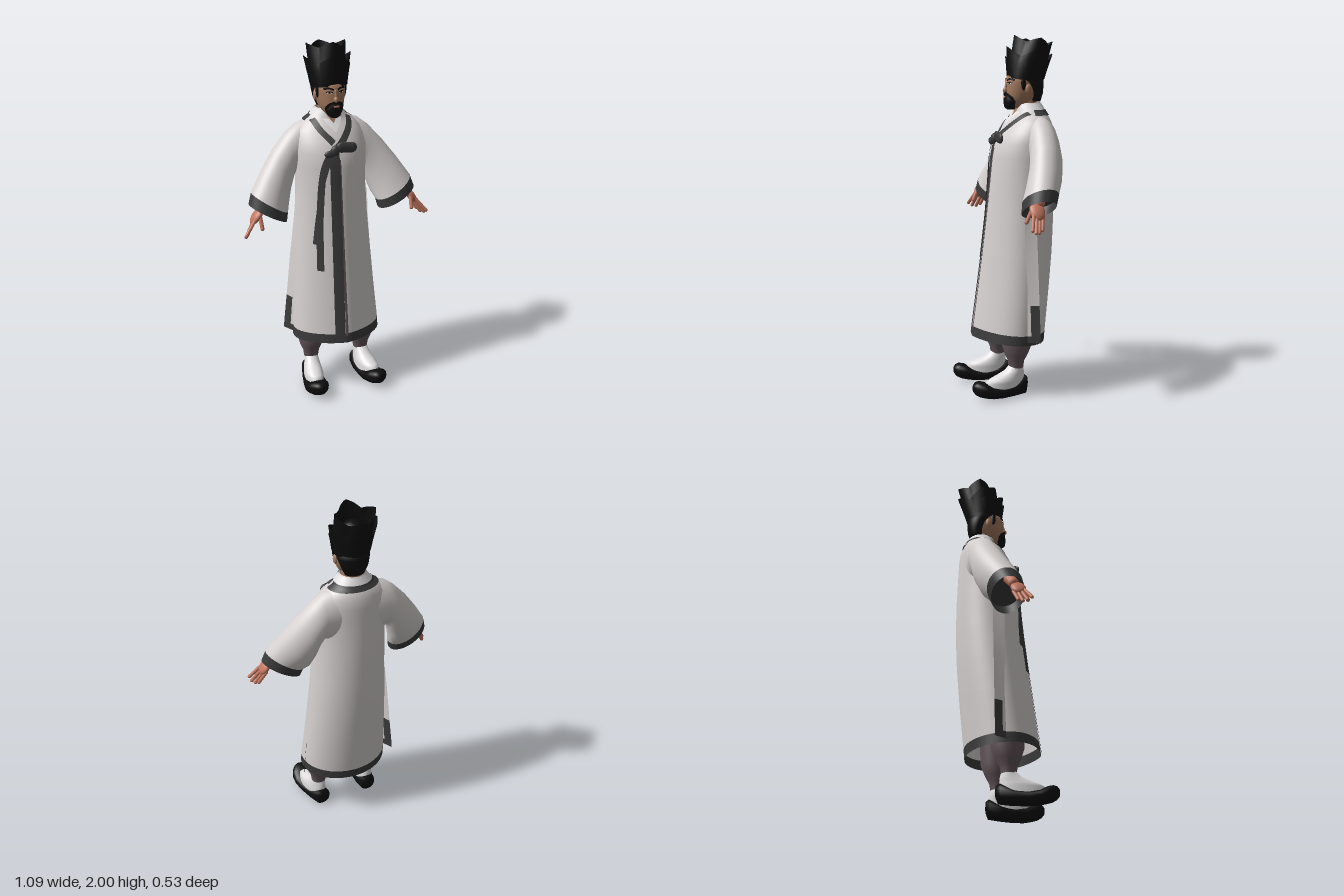
import * as THREE from 'three';

const V = (x, y, z) => new THREE.Vector3(x, y, z);
const N = 48;

function material(name, color, double) {
  const m = new THREE.MeshStandardMaterial({ color });
  m.name = name;
  if (double) m.side = THREE.DoubleSide;
  return m;
}

// Skin a list of point rows; wrap closes each row, cap closes both ends.
function skin(rows, wrap = true, cap = false) {
  const n = rows[0].length, pts = rows.flat(), idx = [];
  for (let i = 0; i < rows.length - 1; i++) {
    for (let j = 0; j < (wrap ? n : n - 1); j++) {
      const k = (j + 1) % n, a = i * n + j, b = i * n + k;
      idx.push(a, b, b + n, a, b + n, a + n);
    }
  }
  if (cap) {
    [0, rows.length - 1].forEach((r, end) => {
      const c = pts.length;
      pts.push(center(rows[r]));
      for (let j = 0; j < n; j++) {
        const a = r * n + j, b = r * n + (j + 1) % n;
        idx.push(c, end ? a : b, end ? b : a);
      }
    });
  }
  const g = new THREE.BufferGeometry().setFromPoints(pts);
  g.setIndex(idx);
  g.computeVertexNormals();
  return g;
}
function center(row) {
  return row.reduce((s, p) => s.add(p), V(0, 0, 0)).divideScalar(row.length);
}

// Profile rows are [y, half width, front z, back z, front exponent (2 = round, less = pointed)].
function section(table, y) {
  let i = 0;
  while (i < table.length - 2 && y > table[i + 1][0]) i++;
  const a = table[i], b = table[i + 1];
  const t = THREE.MathUtils.clamp((y - a[0]) / (b[0] - a[0]), 0, 1);
  return a.map((v, k) => v + (b[k] - v) * t);
}
const bulge = (u, power = 2) => Math.sqrt(Math.max(0, 1 - Math.abs(u) ** power));
function around(table, angle, y, off = 0) {
  const [, w, f, b, power] = section(table, y), s = Math.sin(angle), c = Math.cos(angle);
  return V((w + off) * s, y, (f + b) / 2 + ((f - b) / 2 + off) * (c > 0 ? bulge(s, power) : c));
}
function band(table, y0, y1, a0, a1, off = 0, steps = 6) {
  const rows = [];
  for (let i = 0; i <= steps; i++) {
    const y = y0 + (y1 - y0) * i / steps;
    rows.push(Array.from({ length: 25 }, (_, j) => around(table, a0 + (a1 - a0) * j / 24, y, off)));
  }
  return skin(rows, false);
}
function stack(table, ys, cap = false) {
  return skin(ys.map(y => Array.from({ length: N }, (_, j) => around(table, j / N * Math.PI * 2, y))), true, cap);
}
const levels = t => t.map(r => r[0]);

// Ribbon of given width laid along [x, y] points on the front of a profile.
function ribbon(table, path, width, off = 0.006) {
  const curve = new THREE.CatmullRomCurve3(path.map(p => V(p[0], p[1], 0)));
  const rows = [];
  for (let i = 0; i <= 24; i++) {
    const p = curve.getPoint(i / 24), t = curve.getTangent(i / 24);
    rows.push([-1, -0.5, 0, 0.5, 1].map(s => {
      const x = p.x + t.y * s * width / 2, y = p.y - t.x * s * width / 2;
      const [, w, f, b, power] = section(table, y);
      return V(x, y, (f + b) / 2 + (f - b) / 2 * bulge(x / w, power) + off);
    }));
  }
  return skin(rows, false);
}

function limb(p, q, r) {
  const d = q.clone().sub(p), g = new THREE.CapsuleGeometry(r, d.length(), 5, 12);
  g.applyQuaternion(new THREE.Quaternion().setFromUnitVectors(V(0, 1, 0), d.normalize()));
  const m = p.clone().add(q).multiplyScalar(0.5);
  return g.translate(m.x, m.y, m.z);
}
function ball(x, y, z, rx, ry, rz) {
  return new THREE.SphereGeometry(1, 24, 16).scale(rx, ry, rz).translate(x, y, z);
}
function mirrored(g) {
  const m = g.clone().scale(-1, 1, 1), a = m.index.array;
  for (let i = 0; i < a.length; i += 3) [a[i], a[i + 1]] = [a[i + 1], a[i]];
  m.computeVertexNormals();
  return m;
}

const ROBE = [[0.305, 0.256, 0.212, -0.2, 1.45], [0.36, 0.254, 0.205, -0.205, 1.45], [0.6, 0.237, 0.172, -0.232, 1.5], [0.8, 0.224, 0.145, -0.25, 1.55],
  [1, 0.209, 0.12, -0.26, 1.65], [1.2, 0.2, 0.098, -0.26, 1.8], [1.33, 0.202, 0.084, -0.255, 1.9], [1.41, 0.205, 0.068, -0.252, 2],
  [1.47, 0.198, 0.035, -0.25, 2], [1.52, 0.18, 0, -0.245, 2], [1.555, 0.145, -0.03, -0.23, 2], [1.58, 0.105, -0.05, -0.215, 2], [1.63, 0.068, -0.06, -0.19, 2]];
const HEAD = [[1.6, 0.03, -0.005, -0.09], [1.63, 0.055, 0.006, -0.14], [1.66, 0.071, 0.009, -0.17], [1.7, 0.08, 0.008, -0.19],
  [1.74, 0.085, 0.005, -0.2], [1.79, 0.087, -0.002, -0.2]];
const HAIR = [[1.635, 0.055, -0.11, -0.19], [1.68, 0.075, -0.1, -0.203], [1.73, 0.09, -0.06, -0.207], [1.775, 0.097, 0, -0.207]];
const BEARD = [[1.593, 0.018, 0.002, -0.04], [1.605, 0.034, 0.016, -0.055], [1.635, 0.05, 0.021, -0.07], [1.66, 0.05, 0.017, -0.06], [1.676, 0.04, 0.012, -0.05]];
const PANTS = [[0.162, 0.042, 0.047, -0.035], [0.2, 0.047, 0.052, -0.04], [0.24, 0.064, 0.07, -0.062], [0.3, 0.078, 0.088, -0.088], [0.5, 0.085, 0.09, -0.1]];
const SOCK = [[0.03, 0.053, 0.2, -0.04], [0.09, 0.054, 0.2, -0.042], [0.107, 0.05, 0.175, -0.043], [0.125, 0.045, 0.125, -0.042], [0.145, 0.041, 0.075, -0.04], [0.18, 0.036, 0.04, -0.03]];

export function createModel() {
  const model = new THREE.Group();
  model.name = 'robedScholar';
  const white = material('robeCloth', 0xd6d0d0, true), trim = material('darkTrim', 0x3b3b3c, true);
  const purple = material('trouserCloth', 0x64555a, true), sockWhite = material('sockWhite', 0xe0dede, true);
  const black = material('black', 0x0d0d0d, true), face = material('faceSkin', 0xa2785d, true), hand = material('handSkin', 0xc0765f);
  const add = (name, g, m) => {
    const mesh = new THREE.Mesh(g, m);
    mesh.name = name;
    model.add(mesh);
  };
  const pair = (name, g, m) => {
    add(name + 'Left', g, m);
    add(name + 'Right', mirrored(g), m);
  };

  // Robe, with the hem slightly lower at the back
  const lean = g => {
    const p = g.attributes.position;
    for (let i = 0; i < p.count; i++) if (p.getY(i) < 0.4) p.setY(i, p.getY(i) + 0.07 * p.getZ(i));
    return g;
  };
  add('robe', lean(stack(ROBE, levels(ROBE).slice(1))), white);
  add('hemBand', lean(stack(ROBE, [0.305, 0.36])), trim);
  add('frontEdge', ribbon(ROBE, [[-0.031, 1.42], [-0.034, 0.9], [-0.043, 0.33]], 0.056), trim);
  add('frontLining', ribbon(ROBE, [[-0.004, 1.38], [-0.003, 0.9], [-0.003, 0.36]], 0.014, 0.004), purple);

  // Side flaps where the front panel overlaps the back: [y, outer x], from share s0 to s1 of the flap's width
  const flap = (edge, s0, s1) => skin(edge.map(([y, x]) => {
    const inner = section(ROBE, y)[1] * 0.99;
    return [s0, (s0 + s1) / 2, s1].map(s => V(inner + (x - inner) * s, y, -0.025 - 0.065 * s));
  }), false);
  pair('sideFlap', flap([[0.53, 0.268], [0.8, 0.241], [1, 0.217], [1.15, 0.204]], 0, 1), white);
  pair('flapInner', flap([[0.36, 0.286], [0.53, 0.268]], 0, 0.3), white);
  pair('slitBand', flap([[0.36, 0.286], [0.53, 0.268]], 0.3, 1), trim);
  pair('flapHem', flap([[0.322, 0.288], [0.36, 0.286]], 0, 1), trim);

  // Collars
  add('throat', skin([[-0.003, 1.54], [-0.025, 1.575], [-0.045, 1.615]].map(([x, y]) =>
    [x, 0, -x].map(u => V(u, y, section(ROBE, y)[2] + 0.004 - u * u * 4))), false), face);
  add('innerCollarBack', band(ROBE, 1.585, 1.625, 1.0, Math.PI * 2 - 1.0, 0.004), sockWhite);
  pair('innerCollar', ribbon(ROBE, [[0.058, 1.622], [0.04, 1.585], [-0.008, 1.525]], 0.03, 0.009), sockWhite);
  add('collarBack', band(ROBE, 1.562, 1.592, 1.4, Math.PI * 2 - 1.4, 0.008), trim);
  add('collarRight', ribbon(ROBE, [[-0.103, 1.575], [-0.085, 1.535], [-0.025, 1.465]], 0.034, 0.007), trim);
  add('collarLeft', ribbon(ROBE, [[0.105, 1.575], [0.085, 1.535], [0.02, 1.465], [-0.06, 1.405]], 0.036, 0.009), trim);

  // Bow and hanging ties
  add('bowKnot', ball(-0.025, 1.432, 0.07, 0.026, 0.03, 0.018), trim);
  add('bowLoopLeft', new THREE.CapsuleGeometry(0.03, 0.06, 4, 16).rotateZ(Math.PI / 2 - 0.1).scale(1, 1, 0.45).translate(0.04, 1.443, 0.068), trim);
  add('bowLoopRight', ball(-0.058, 1.417, 0.076, 0.032, 0.02, 0.012), trim);
  add('longTie', ribbon(ROBE, [[-0.05, 1.425], [-0.09, 1.34], [-0.118, 1.1], [-0.13, 0.75]], 0.034, 0.014), trim);
  add('shortTie', ribbon(ROBE, [[-0.05, 1.42], [-0.1, 1.25], [-0.125, 1.08], [-0.148, 0.9]], 0.022, 0.01), trim);

  // Wide sleeves: top xy, bottom xy, centre z, half depth
  const sleeve = [[0.09, 1.57, 0.12, 1.26, -0.14, 0.088], [0.18, 1.545, 0.185, 1.28, -0.14, 0.086], [0.24, 1.497, 0.205, 1.245, -0.136, 0.087],
    [0.315, 1.415, 0.228, 1.175, -0.122, 0.094], [0.395, 1.308, 0.25, 1.105, -0.09, 0.1], [0.468, 1.2, 0.266, 1.07, -0.052, 0.097], [0.488, 1.14, 0.277, 1.022, -0.038, 0.091]]
    .map(([tx, ty, bx, by, z, d]) => Array.from({ length: N }, (_, j) => {
      const a = j / N * Math.PI * 2, c = Math.cos(a);
      return V((tx + bx) / 2 + (tx - bx) / 2 * c, (ty + by) / 2 + (ty - by) / 2 * c, z + d * Math.sin(a));
    }));
  pair('sleeve', skin(sleeve.slice(0, 6)), white);
  pair('cuff', skin(sleeve.slice(5)), trim);
  const middle = center(sleeve[5]);
  pair('cuffLining', skin([sleeve[5], sleeve[5].map(p => p.clone().lerp(middle, 0.99))]), trim);

  // Forearms and hands
  pair('forearm', limb(V(0.36, 1.22, -0.07), V(0.435, 1.13, -0.02), 0.029), hand);
  pair('palm', new THREE.SphereGeometry(1, 20, 14).scale(0.022, 0.055, 0.042).rotateZ(0.65).translate(0.458, 1.088, 0.002), hand);
  [[0.535, 1, 0.058], [0.531, 0.986, 0.036], [0.518, 0.984, 0.014], [0.505, 0.995, -0.008]].forEach(([x, y, z], i) =>
    pair('finger' + (i + 1), limb(V(0.478 - i * 0.004, 1.07 - i * 0.003, 0.03 - i * 0.019), V(x, y, z), 0.0095), hand));
  pair('thumb', limb(V(0.447, 1.09, 0.03), V(0.443, 1.03, 0.056), 0.011), hand);

  // Head and face
  add('neck', new THREE.CylinderGeometry(0.052, 0.058, 0.16, 32).translate(0, 1.6, -0.115), face);
  add('head', stack(HEAD, levels(HEAD), true), face);
  pair('ear', ball(0.083, 1.705, -0.093, 0.011, 0.028, 0.018), face);
  pair('sideburn', ball(0.078, 1.74, -0.066, 0.009, 0.042, 0.014), black);
  add('nose', ball(0, 1.698, 0.009, 0.013, 0.018, 0.018), face);
  add('noseBridge', limb(V(0, 1.705, 0.012), V(0, 1.742, 0.002), 0.008), face);
  pair('eye', ribbon(HEAD, [[0.02, 1.735], [0.033, 1.737], [0.047, 1.736]], 0.007, 0.003), sockWhite);
  pair('pupil', ribbon(HEAD, [[0.028, 1.737], [0.039, 1.737]], 0.009, 0.005), black);
  pair('eyelid', ribbon(HEAD, [[0.017, 1.738], [0.033, 1.743], [0.05, 1.738]], 0.005, 0.005), black);
  pair('eyebrow', ribbon(HEAD, [[0.012, 1.752], [0.035, 1.76], [0.06, 1.754]], 0.01, 0.005), black);
  add('beard', stack(BEARD, levels(BEARD), true), black);
  pair('moustache', ribbon(HEAD, [[0, 1.682], [0.022, 1.68], [0.042, 1.665], [0.048, 1.645]], 0.013, 0.01), black);
  add('mouth', ribbon(BEARD, [[-0.016, 1.661], [0, 1.663], [0.016, 1.661]], 0.008, 0.004), hand);
  add('hair', stack(HAIR, levels(HAIR), true), black);

  // Three-tiered hat, each tier flaring to four points
  const tiers = [[1.75, 0.1, -0.102, 1.865, 0.128, -0.115, 0.045], [1.77, 0.104, -0.106, 1.92, 0.136, -0.13, 0.05], [1.79, 0.1, -0.11, 1.983, 0.114, -0.153, 0.03]];
  tiers.forEach(([y0, r0, z0, y1, r1, z1, dip], k) => {
    const rows = [0, 0.25, 0.5, 0.75, 1].map(t => Array.from({ length: N }, (_, j) => {
      const a = j / N * Math.PI * 2, q = Math.abs((j % 12) - 6) / 6;
      const r = (r0 + (r1 - r0) * t) * (1 - 0.23 * (1 - q) * t);
      const z = r * Math.cos(a);
      return V(r * Math.sin(a), y0 + (y1 - y0) * t - dip * (1 - q) * t * t + 0.15 * z, z0 + (z1 - z0) * t + z);
    }));
    add('hatTier' + (k + 1), skin(rows), black);
  });
  add('hatCrown', ball(0, 1.81, -0.122, 0.086, 0.11, 0.084), black);

  // Trousers, socks and shoes
  pair('trouserLeg', stack(PANTS, levels(PANTS)).translate(0.155, 0, 0), purple);
  pair('sock', stack(SOCK, levels(SOCK)).rotateY(0.14).translate(0.154, 0, 0), sockWhite);
  const shoe = [[-0.06, 0.02, 0.035, 0.1, 0.15], [-0.045, 0.045, 0.004, 0.11, 0.152], [0.02, 0.057, 0, 0.08, 0.158], [0.1, 0.064, 0, 0.068, 0.17],
    [0.16, 0.068, 0.004, 0.076, 0.177], [0.2, 0.065, 0.012, 0.098, 0.18], [0.23, 0.054, 0.02, 0.106, 0.18], [0.252, 0.037, 0.032, 0.102, 0.18], [0.266, 0.014, 0.05, 0.09, 0.18]]
    .map(([z, w, b, t, cx]) => Array.from({ length: N }, (_, j) => {
      const a = j / N * Math.PI * 2, s = Math.sin(a), c = Math.cos(a);
      return V(cx - w * Math.sign(s) * Math.abs(s) ** 0.85, (b + t) / 2 + (t - b) / 2 * Math.sign(c) * Math.abs(c) ** 0.85, z);
    }));
  pair('shoe', skin(shoe, true, true), black);
  return model;
}
